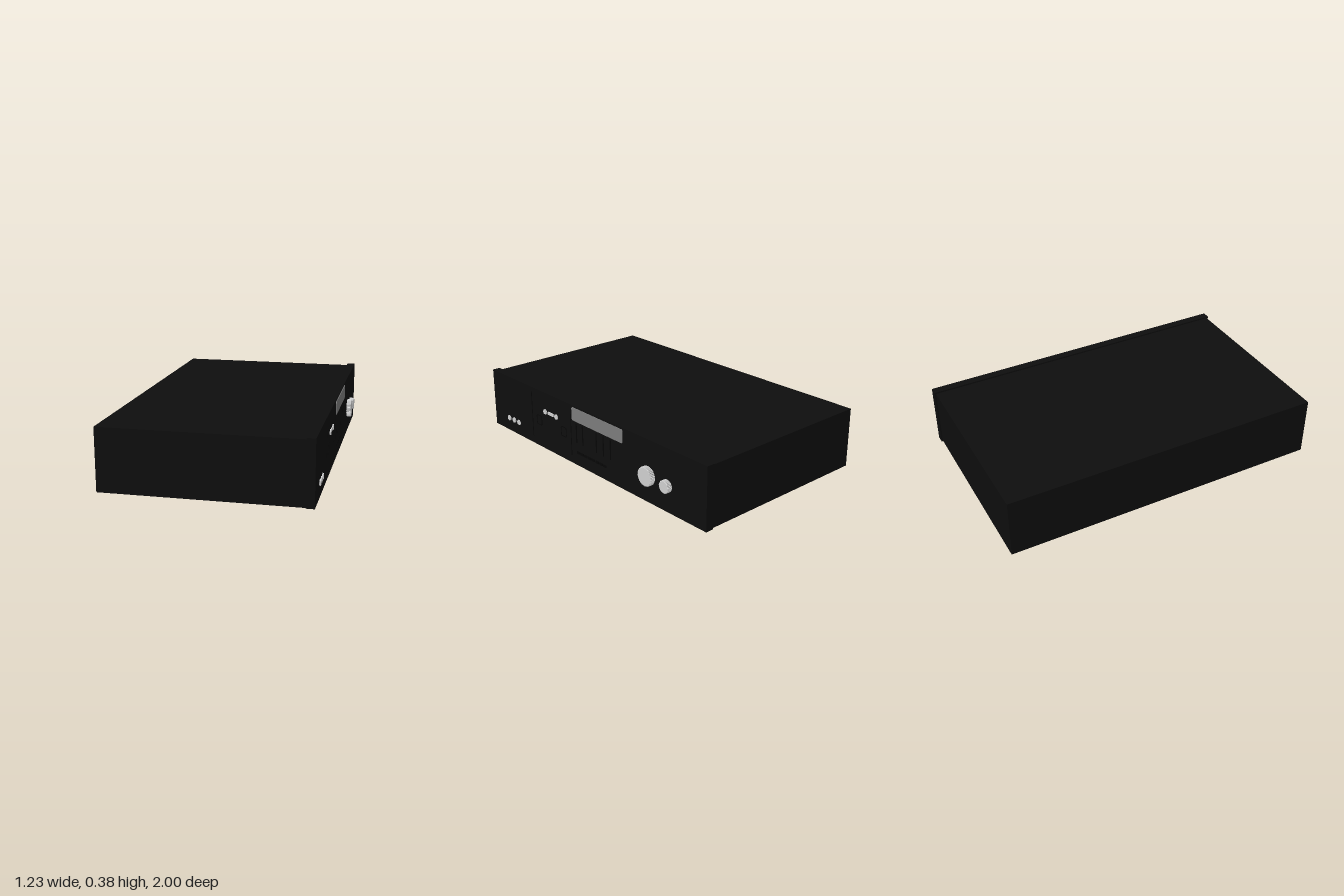
import * as THREE from 'three';

const mat = (name, color) => {
  const m = new THREE.MeshStandardMaterial({ color });
  m.name = name;
  return m;
};

export function createModel() {
  const root = new THREE.Group();
  root.name = 'stereoReceiver';
  const black = mat('casing black', 0x0e0e0e);
  const dark = mat('detail black', 0x060606);
  const silver = mat('silver', 0xcfcfcf);
  const grey = mat('display grey', 0x7c7c7c);
  const face = 0.585; // x of the control panel surface

  const add = (name, geo, material, x, y, z) => {
    const m = new THREE.Mesh(geo, material);
    m.name = name;
    m.position.set(x, y, z);
    root.add(m);
    return m;
  };
  // block standing on the control panel, out = how far it sticks out
  const block = (name, material, z, y, w, h, out) =>
    add(name, new THREE.BoxGeometry(out, h, w), material, face + out / 2, y, z);

  // flat shape drawn in (-z, y), extruded along +x
  const plate = (name, shape, material, z, y, out, bevel = 0) => {
    const geo = new THREE.ExtrudeGeometry(shape, {
      depth: out - bevel, curveSegments: 8, bevelEnabled: bevel > 0,
      bevelThickness: bevel, bevelSize: bevel, bevelOffset: -bevel, bevelSegments: 1,
    });
    geo.rotateY(Math.PI / 2);
    return add(name, geo, material, face, y, z);
  };
  const roundRect = (S, w, h, r) => {
    const s = new S(), x = w / 2, y = h / 2;
    s.moveTo(-x + r, -y);
    s.lineTo(x - r, -y); s.quadraticCurveTo(x, -y, x, -y + r);
    s.lineTo(x, y - r); s.quadraticCurveTo(x, y, x - r, y);
    s.lineTo(-x + r, y); s.quadraticCurveTo(-x, y, -x, y - r);
    s.lineTo(-x, -y + r); s.quadraticCurveTo(-x, -y, -x + r, -y);
    return s;
  };
  const frame = (name, z, y, w, h, t, r) => {
    const s = roundRect(THREE.Shape, w, h, r);
    s.holes.push(roundRect(THREE.Path, w - 2 * t, h - 2 * t, r * 0.6));
    return plate(name, s, dark, z, y, 0.003);
  };
  // finely ridged disc
  const ridged = (r, teeth, depth) => {
    const pts = [];
    for (let i = 0; i < teeth * 2; i++) {
      const a = (i / (teeth * 2)) * Math.PI * 2;
      const q = i % 2 ? r : r - depth;
      pts.push(new THREE.Vector2(Math.cos(a) * q, Math.sin(a) * q));
    }
    return new THREE.Shape(pts);
  };

  // casing and the slightly larger control panel
  add('casing', new THREE.BoxGeometry(1.155, 0.37, 1.98), black, -0.0375, 0.185, 0);
  add('controlPanel', new THREE.BoxGeometry(0.05, 0.38, 2), black, 0.56, 0.19, 0);

  // display window
  plate('display', roundRect(THREE.Shape, 0.47, 0.084, 0.012), grey, -0.095, 0.327, 0.004);

  // rotary knobs
  plate('volumeKnob', ridged(0.058, 40, 0.004), silver, -0.545, 0.165, 0.03, 0.002);
  plate('selectorKnob', ridged(0.038, 30, 0.003), silver, -0.70, 0.16, 0.03, 0.002);

  // small round sockets with dark centres
  const socket = (z, y, r) => {
    plate('socket', ridged(r, 12, 0.003), silver, z, y, 0.008);
  };
  [0.83, 0.775, 0.72].forEach(z => socket(z, 0.09, 0.018));
  [0.415, 0.3].forEach(z => socket(z, 0.255, 0.017));
  block('silverKey', silver, 0.357, 0.255, 0.056, 0.019, 0.006);

  // recessed button field and its rounded buttons
  [0.56, 0.155].forEach(z => block('panelSeam', dark, z, 0.2, 0.005, 0.3, 0.002));
  [0.485, 0.23].forEach(z => frame('buttonFrame', z, 0.18, 0.055, 0.065, 0.004, 0.014));

  // upright grooves below the display and the row of small keys
  [0.1, 0.04, -0.09, -0.155, -0.22].forEach(z =>
    block('groove', dark, z, 0.21, 0.006, 0.125, 0.004));
  for (let i = 0; i < 8; i++) {
    block('smallKey', dark, 0.085 - i * 0.036, 0.088, 0.026, 0.014, 0.006);
  }
  return root;
}
